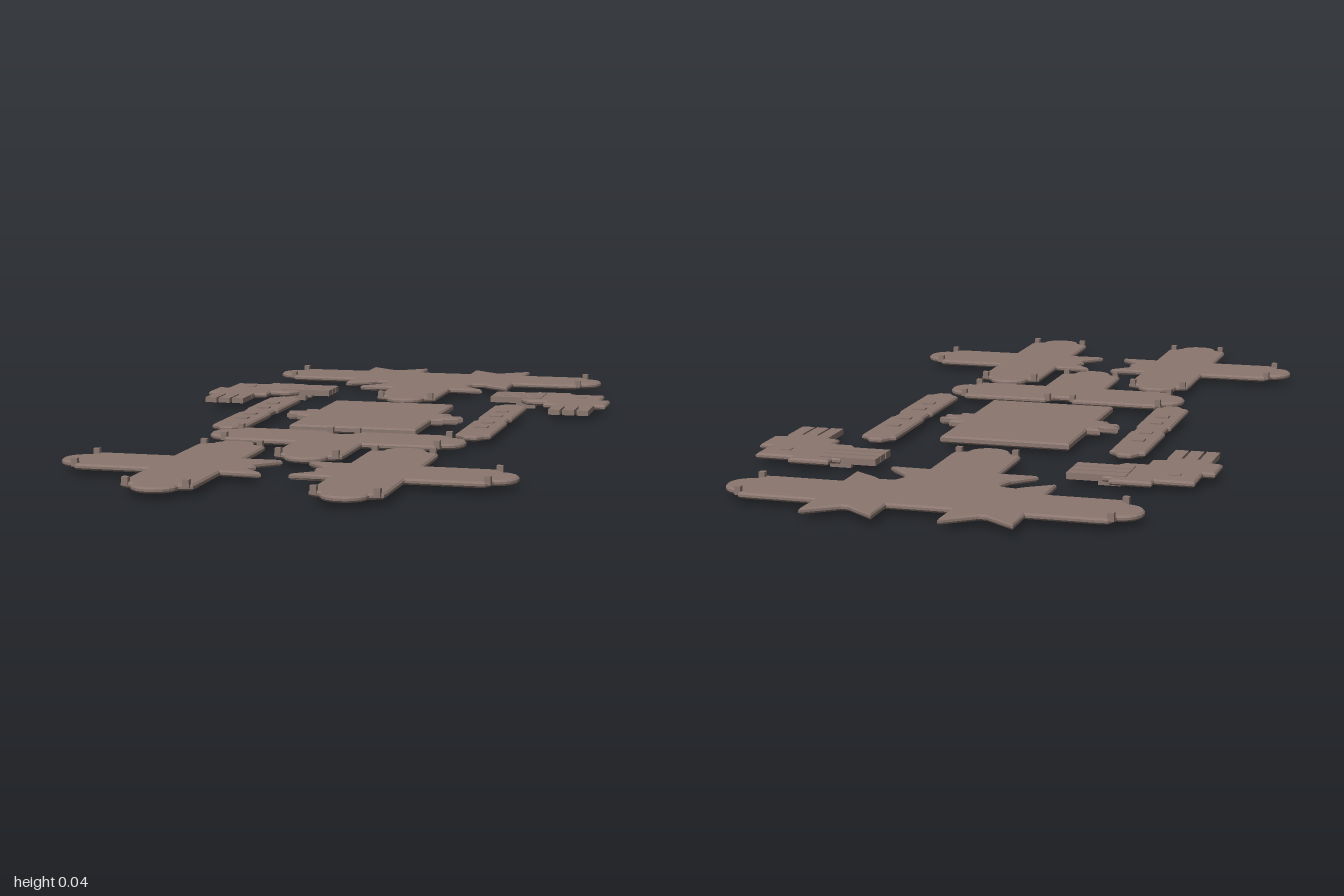
import * as THREE from 'three';

const hide = new THREE.MeshStandardMaterial({ color: 0x8a766f });
hide.name = 'dullBrown';

// Horizontal plate from [x, z] points, between two heights, with a small edge bevel
function plate(name, pts, y0 = 0.014, y1 = 0.027, bevel = 0.004) {
  const shape = new THREE.Shape(pts.map(([x, z]) => new THREE.Vector2(x, z)));
  const geo = new THREE.ExtrudeGeometry(shape, {
    depth: y1 - y0 - 2 * bevel, bevelEnabled: bevel > 0, bevelThickness: bevel,
    bevelSize: bevel, bevelOffset: -bevel, bevelSegments: 1,
  });
  geo.rotateX(Math.PI / 2).translate(0, y1 - bevel, 0);
  const mesh = new THREE.Mesh(geo, hide);
  mesh.name = name;
  return mesh;
}

function box(name, x, z, w, d, y0, y1) {
  const mesh = new THREE.Mesh(new THREE.BoxGeometry(w, y1 - y0, d), hide);
  mesh.position.set(x, (y0 + y1) / 2, z);
  mesh.name = name;
  return mesh;
}

// Rounded limb end: shoulder centre (cx, cz), pointing along (ax, az)
function limbEnd(cx, cz, ax, az) {
  const local = [[-0.035, -0.08], [-0.012, -0.078], [-0.004, -0.062]];
  for (let i = 0; i <= 10; i++) {
    const a = -Math.PI / 2 + (Math.PI * i) / 10;
    local.push([0.045 * Math.cos(a), 0.05 * Math.sin(a)]);
  }
  local.push([-0.004, 0.062], [-0.012, 0.078], [-0.035, 0.08]);
  return local.map(([u, v]) => [cx + u * ax - v * az, cz + u * az + v * ax]);
}

// The two little pegs on the shoulders of a limb end
function endPegs(group, cx, cz, ax, az) {
  for (const v of [-0.066, 0.066]) {
    group.add(box('shoulderPeg', cx - 0.008 * ax - v * az, cz - 0.008 * az + v * ax, 0.014, 0.014, 0.02, 0.038));
  }
}

const flip = (pts, s) => pts.map(([x, z]) => [s * x, z]);

// Completes a right-hand half outline by mirroring it across x = 0
function symmetric(half) {
  const kept = half.filter(([x]) => x > -1e-4);
  return [...kept, ...flip(kept.filter(([x]) => x > 1e-4).reverse(), -1)];
}

export function createModel() {
  const model = new THREE.Group();
  model.name = 'flatPlateSet';

  // Spiked plate at the back
  const crown = new THREE.Group();
  crown.name = 'spikedBackPlate';
  crown.add(plate('spikedPlate', symmetric([
    [0.07, -0.91], [0.07, -1], [0.14, -0.945], [0.155, -0.945], [0.227, -0.998], [0.227, -0.91],
    ...limbEnd(0.41, -0.83, 1, 0),
    [0.225, -0.75], [0.225, -0.66], [0.165, -0.7], [0.15, -0.715], [0.12, -0.71], [0.108, -0.685],
    [0.12, -0.65], [0.168, -0.6], [0.08, -0.6],
    ...limbEnd(0, -0.417, 0, 1),
  ])));
  for (const s of [-1, 1]) endPegs(crown, s * 0.41, -0.83, s, 0);
  endPegs(crown, 0, -0.417, 0, 1);
  model.add(crown);

  // Square centre plate with pointed ears
  model.add(plate('centrePlate', symmetric([
    [0.155, -0.295], [0.155, -0.13], [0.187, -0.13], [0.178, -0.098], [0.222, -0.094], [0.19, -0.08],
    [0.217, -0.062], [0.175, -0.058], [0.185, -0.037], [0.155, -0.037], [0.155, 0.13],
  ]), 0.012, 0.029));

  // T-shaped plate
  const tee = new THREE.Group();
  tee.name = 'teePlate';
  tee.add(plate('teeBody', symmetric([
    [0, 0.225], [0.02, 0.223], [0.034, 0.205], [0.034, 0.187],
    ...limbEnd(0.26, 0.266, 1, 0),
    [0.08, 0.346],
    ...limbEnd(0, 0.527, 0, 1),
  ])));
  for (const s of [-1, 1]) {
    endPegs(tee, s * 0.26, 0.266, s, 0);
    tee.add(box('notchPeg', s * 0.033, 0.2, 0.014, 0.014, 0.02, 0.038));
  }
  endPegs(tee, 0, 0.527, 0, 1);
  model.add(tee);

  for (const s of [-1, 1]) {
    const side = s > 0 ? 'left' : 'right';

    // Cross-shaped front plates with a jagged inner edge
    const cross = new THREE.Group();
    cross.name = side + 'CrossPlate';
    cross.add(plate('crossBody', flip([
      ...limbEnd(0.2, 0.427, 0, -1),
      [0.28, 0.608],
      ...limbEnd(0.46, 0.688, 1, 0),
      [0.28, 0.768],
      ...limbEnd(0.2, 0.95, 0, 1),
      [0.12, 0.768], [0.03, 0.768], [0.085, 0.715], [0.065, 0.69], [0.085, 0.665], [0.03, 0.608], [0.12, 0.608],
    ], s)));
    endPegs(cross, s * 0.2, 0.427, 0, -1);
    endPegs(cross, s * 0.2, 0.95, 0, 1);
    endPegs(cross, s * 0.46, 0.688, s, 0);
    model.add(cross);

    // Long side strips with studs above and below
    const strip = new THREE.Group();
    strip.name = side + 'SideStrip';
    strip.add(plate('stripBody', flip([
      [0.256, -0.318], [0.268, -0.325], [0.282, -0.348], [0.312, -0.348], [0.326, -0.325], [0.34, -0.318],
      [0.34, -0.115], [0.334, -0.11], [0.334, -0.055], [0.34, -0.05],
      [0.34, 0.155], [0.326, 0.163], [0.312, 0.184], [0.282, 0.184], [0.268, 0.163], [0.256, 0.155],
      [0.256, -0.05], [0.262, -0.055], [0.262, -0.11], [0.256, -0.115],
    ], s)));
    for (const z of [-0.21, -0.13, -0.02, 0.05]) {
      strip.add(box('lowerStud', s * 0.298, z, 0.02, 0.014, 0.006, 0.016));
      strip.add(box('upperStud', s * 0.298, z, 0.03, 0.022, 0.025, 0.03));
    }
    model.add(strip);

    // Paw plates: stepped palm and two sets of three fingers
    const paw = new THREE.Group();
    paw.name = side + 'PawPlate';
    paw.add(plate('palm', flip([
      [0.503, -0.565], [0.415, -0.565], [0.415, -0.59], [0.32, -0.59], [0.32, -0.565], [0.3, -0.565],
      [0.3, -0.46], [0.32, -0.43], [0.37, -0.43], [0.37, -0.385], [0.4, -0.38], [0.4, -0.355],
      [0.503, -0.355], [0.503, -0.383], [0.53, -0.387], [0.53, -0.475], [0.503, -0.475],
    ], s)));
    for (let i = 0; i < 3; i++) {
      paw.add(box('innerFinger', s * 0.285, -0.546 + i * 0.035, 0.132, 0.03, 0.014, 0.029));
      paw.add(box('frontFinger', s * (0.416 + i * 0.036), -0.325, 0.03, 0.094, 0.014, 0.027));
    }
    paw.add(box('knuckleStud', s * 0.45, -0.51, 0.024, 0.022, 0.024, 0.029));
    for (const z of [-0.53, -0.475]) paw.add(box('lowerLug', s * 0.31, z, 0.05, 0.016, 0, 0.016));
    model.add(paw);
  }
  return model;
}
